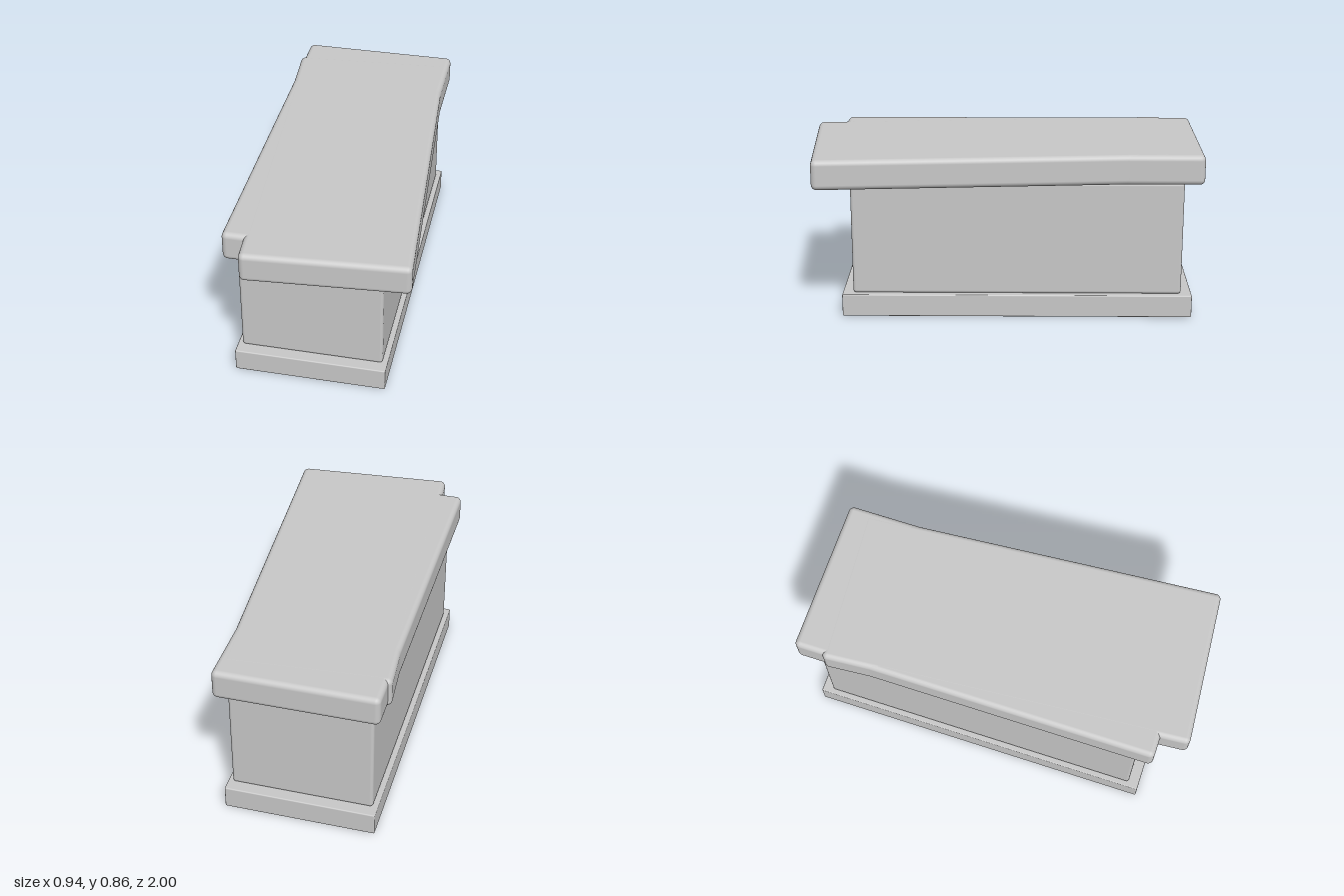
import * as THREE from 'three';
import { RoundedBoxGeometry } from 'three/addons/geometries/RoundedBoxGeometry.js';

export function createModel() {
  const group = new THREE.Group();
  group.name = 'stoneTomb';
  const stone = new THREE.MeshStandardMaterial({ color: 0xc8c8c8 });
  stone.name = 'pale grey stone';

  // Rounded block given by its x, y and z ranges
  const block = (name, [x0, x1], [y0, y1], [z0, z1], radius) => {
    const geometry = new RoundedBoxGeometry(x1 - x0, y1 - y0, z1 - z0, 3, radius);
    const mesh = new THREE.Mesh(geometry, stone);
    mesh.name = name;
    mesh.position.set((x0 + x1) / 2, (y0 + y1) / 2, (z0 + z1) / 2);
    group.add(mesh);
    return mesh;
  };

  block('plinth', [-0.427, 0.333], [0, 0.117], [-0.96, 0.825], 0.006);
  block('chest', [-0.403, 0.309], [0.117, 0.708], [-0.905, 0.77], 0.016);

  // Two equal lid slabs, one squared to the chest and one slid askew
  block('lid', [-0.452, 0.353], [0.708, 0.86], [-1, 0.855], 0.027);
  const shiftedLid = block('shiftedLid', [-0.402, 0.402], [0.7085, 0.8605], [-0.882, 0.973], 0.027);
  shiftedLid.rotation.y = THREE.MathUtils.degToRad(4.3);

  return group;
}
